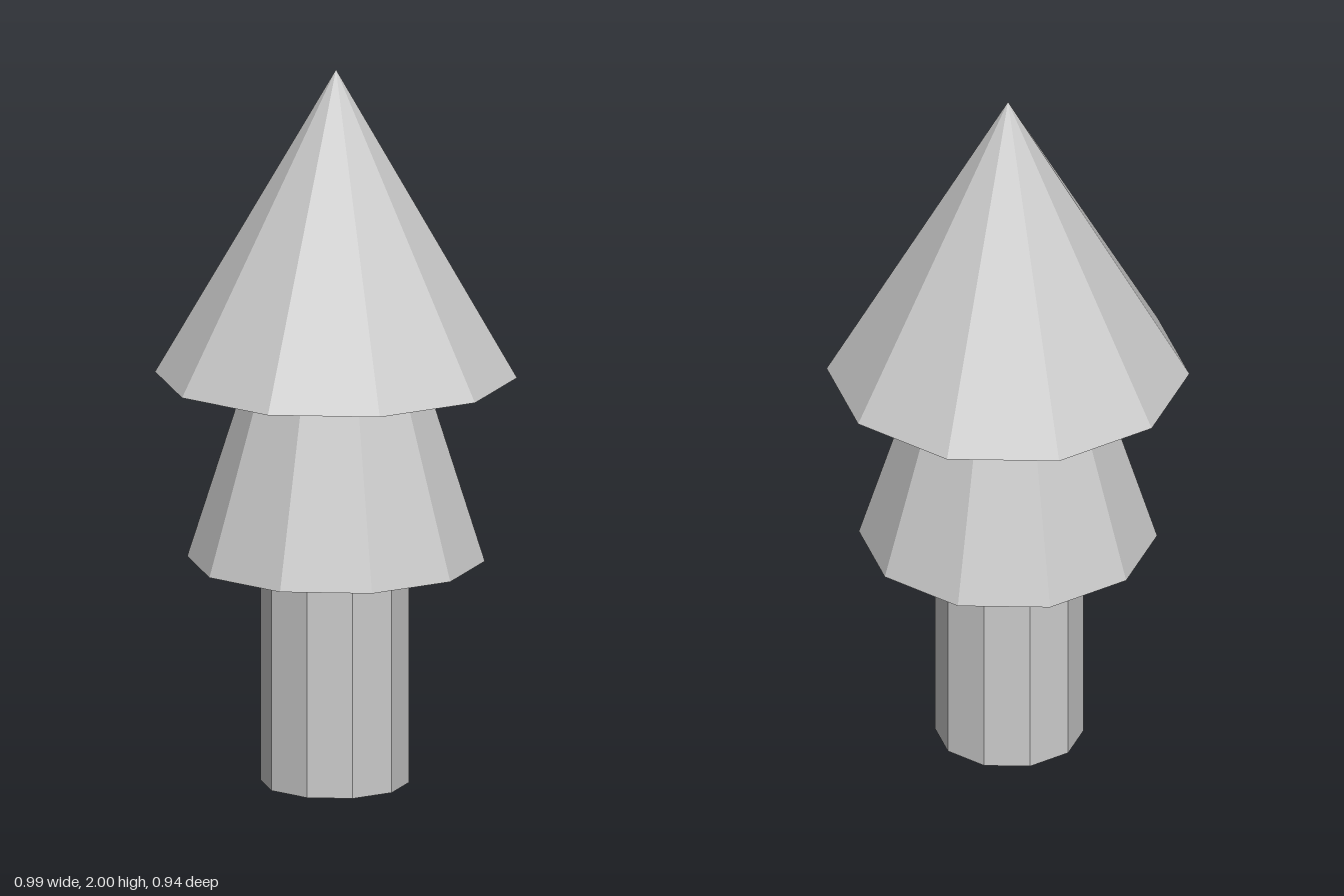
import * as THREE from 'three';

const SIDES = 10;

export function createModel() {
  const group = new THREE.Group();
  const material = new THREE.MeshStandardMaterial({ color: 0xcccccc, flatShading: true });

  // Ten-sided tapered solid between two heights, with corners on the x axis
  function addTier(name, topRadius, bottomRadius, bottom, top) {
    const geometry = new THREE.CylinderGeometry(
      topRadius, bottomRadius, top - bottom, SIDES, 1, false, Math.PI / 2);
    geometry.translate(0, (top + bottom) / 2, 0);
    const mesh = new THREE.Mesh(geometry, material);
    mesh.name = name;
    group.add(mesh);
    return mesh;
  }

  // Trunk, running slightly up into the foliage
  const trunk = addTier('trunk', 0.203, 0.203, 0, 0.7);
  trunk.position.set(-0.002, 0, 0.003);

  // Lower foliage, its tip hidden inside the upper cone
  addTier('lowerFoliage', 0, 0.407, 0.625, 1.91);

  // Upper foliage
  addTier('upperFoliage', 0, 0.495, 1.142, 2);

  return group;
}
